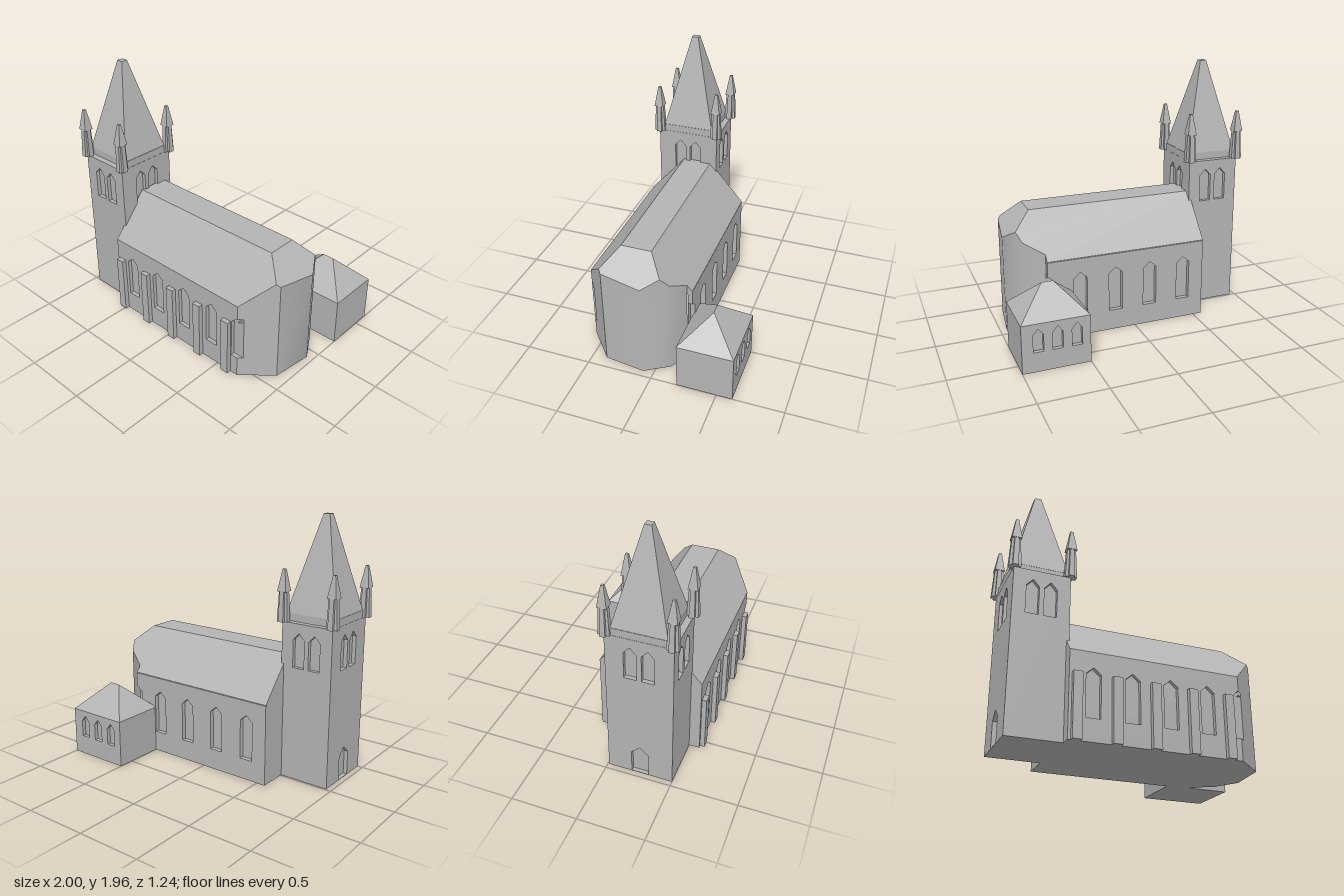
import * as THREE from 'three';
import { mergeGeometries, toCreasedNormals } from 'three/addons/utils/BufferGeometryUtils.js';

const stone = new THREE.MeshStandardMaterial({ color: 0xb4b4b4, side: THREE.DoubleSide });
stone.name = 'stone';

function add(parent, name, geometry, x = 0, y = 0, z = 0) {
  const mesh = new THREE.Mesh(geometry, stone);
  mesh.name = name;
  mesh.position.set(x, y, z);
  parent.add(mesh);
  return mesh;
}

const box = (x0, x1, y0, y1, z0, z1) =>
  new THREE.BoxGeometry(x1 - x0, y1 - y0, z1 - z0).translate((x0 + x1) / 2, (y0 + y1) / 2, (z0 + z1) / 2);

// Flat faces from corner loops, counter-clockwise seen from outside
function faces(loops) {
  const pos = [];
  for (const p of loops) {
    for (let i = 1; i < p.length - 1; i++) pos.push(...p[0], ...p[i], ...p[i + 1]);
  }
  const g = new THREE.BufferGeometry();
  g.setAttribute('position', new THREE.Float32BufferAttribute(pos, 3));
  g.computeVertexNormals();
  return g;
}

const toShape = (pts) => new THREE.Shape(pts.map(([x, y]) => new THREE.Vector2(x, y)));
const arch = (cx, w, y0, y1, apex) =>
  [[cx - w / 2, y0], [cx + w / 2, y0], [cx + w / 2, y1], [cx, apex], [cx - w / 2, y1]];

// Wall plate with pointed openings
function wallPlate(outline, openings, depth) {
  const s = toShape(outline);
  for (const o of openings) s.holes.push(toShape(o));
  return new THREE.ExtrudeGeometry(s, { depth, bevelEnabled: false });
}
const rect = (x0, x1, y0, y1) => [[x0, y0], [x1, y0], [x1, y1], [x0, y1]];

// Square tapered block, sides facing the axes
function taper(topHalf, bottomHalf, height) {
  const g = new THREE.CylinderGeometry(topHalf * Math.SQRT2, bottomHalf * Math.SQRT2, height, 4)
    .rotateY(Math.PI / 4).translate(0, height / 2, 0).toNonIndexed();
  g.computeVertexNormals();
  return g;
}

function makeNave() {
  const nave = new THREE.Group();
  nave.name = 'nave';
  const x0 = -0.57, x1 = 0.69, zf = 0.58, zb = -0.215, paneF = 0.55, paneB = -0.18;
  const roofY = (x, z) => Math.min(0.95, 0.95 - 1.155 * (z - 0.295),
    0.95 - 1.155 * (0.065 - z), 0.95 - 0.95 * (x - 0.745));
  const onRoof = (pts) => pts.map(([x, z]) => [x, roofY(x, z), z]);
  const hipF = [0.886, 0.411], hipB = [0.875, -0.042], endF = [0.745, 0.295], endB = [0.745, 0.065];
  const a = [0.91, 0.39], b = [0.95, 0.08], c = [0.84, -0.1], d = [x1, -0.175];

  // Roof with flat ridge and hipped end
  add(nave, 'naveRoof', faces([
    onRoof([[x0, 0.295], endF, endB, [x0, 0.065]]),
    onRoof([[x0, zf], [x1, zf], hipF, endF, [x0, 0.295]]),
    onRoof([endF, hipF, a, b, hipB, endB]),
    onRoof([[x0, 0.065], endB, hipB, c, d, [x1, zb], [x0, zb]]),
  ]));

  // Apse wall, softly rounded toward the back
  const ring = [[0.725, paneF], hipF, a, b, hipB, c, d];
  const quads = [];
  for (let i = 0; i < ring.length - 1; i++) {
    const [p, q] = [ring[i], ring[i + 1]];
    quads.push([[p[0], 0, p[1]], [q[0], 0, q[1]], [q[0], roofY(...q), q[1]], [p[0], roofY(...p), p[1]]]);
  }
  add(nave, 'apseWall', toCreasedNormals(faces(quads), 0.69));

  // End wall, floor, window backs and the corner around the last window
  const gable = [[zb, 0], [zf, 0], [zf, roofY(0, zf)], [0.295, 0.95], [0.065, 0.95], [zb, roofY(0, zb)]];
  const floor = [[x0, zf], [x1, zf], a, b, c, d, [x1, zb], [x0, zb]];
  const tri = (y) => [[x1, y, zf], [0.725, y, paneF], [x1, y, paneF]];
  const corner = (y0, y1, y2) => [[x1, y0, zf], [0.725, y0, paneF], [0.725, y2, paneF], [x1, y1, zf]];
  add(nave, 'naveShell', faces([
    gable.map(([z, y]) => [x0, y, z]),
    floor.reverse().map(([x, z]) => [x, 0, z]),
    [[x0, 0, paneF], [0.725, 0, paneF], [0.725, 0.62, paneF], [x0, 0.62, paneF]],
    [[x1, 0, paneB], [x0, 0, paneB], [x0, 0.62, paneB], [x1, 0.62, paneB]],
    corner(0, 0.16, 0.16), tri(0.16),
    corner(0.51, roofY(x1, zf), roofY(0.725, paneF)), tri(0.48).reverse(),
    [[x1, 0.6, -0.175], [x1, 0.6, zb], [x1, roofY(x1, zb), zb], [x1, roofY(...d), -0.175]],
  ]));

  // Side walls with four windows and an open notch at the corner
  const outline = [[x0, 0], [x1, 0], [x1, 0.16], [0.635, 0.16], [0.635, 0.465], [0.685, 0.51],
    [x1, 0.508], [x1, 0.621], [x0, 0.621]];
  const windows = [-0.4, -0.12, 0.16, 0.44].map((x) => arch(x, 0.106, 0.16, 0.465, 0.51));
  add(nave, 'frontWall', wallPlate(outline, windows, zf - paneF), 0, 0, paneF);
  add(nave, 'backWall', wallPlate(outline, windows, paneB - zb), 0, 0, zb);

  // Buttresses on the front
  for (let i = 0; i < 5; i++) {
    const x = -0.517 + i * 0.278;
    add(nave, 'buttress', box(x - 0.033, x + 0.033, 0, 0.46, 0.57, 0.615));
  }
  return nave;
}

function makePinnacle() {
  const pinnacle = new THREE.Group();
  pinnacle.name = 'pinnacle';
  // Cross-shaped shaft, wider at the foot
  const r = 0.043, t = 0.021;
  const cross = [[t, r], [t, t], [r, t], [r, -t], [t, -t], [t, -r], [-t, -r], [-t, -t], [-r, -t], [-r, t], [-t, t], [-t, r]];
  const shaft = wallPlate(cross, [], 0.22).rotateX(-Math.PI / 2);
  const p = shaft.attributes.position;
  for (let i = 0; i < p.count; i++) {
    const k = 1 - 0.25 * (p.getY(i) / 0.22);
    p.setX(i, p.getX(i) * k);
    p.setZ(i, p.getZ(i) * k);
  }
  shaft.computeVertexNormals();
  add(pinnacle, 'pinnacleShaft', shaft);
  add(pinnacle, 'pinnacleCap', taper(0.01, 0.036, 0.16), 0, 0.22, 0);
  return pinnacle;
}

function makeTower() {
  const tower = new THREE.Group();
  tower.name = 'tower';
  tower.position.set(-0.755, 0, 0.255);
  const w = 0.41, l = 0.49, h = 1.2, d = 0.03;
  add(tower, 'towerCore', box(-w / 2 + d, w / 2 - d, 0, h, -l / 2 + d, l / 2 - d));

  // Four walls with paired belfry windows, and a door on the outer end
  const pair = (s) => [-s, s].map((x) => arch(x, 0.092, 0.87, 1.08, 1.13));
  const door = arch(0, 0.13, 0.004, 0.19, 0.25);
  for (let i = 0; i < 4; i++) {
    const side = i % 2 === 1;
    const width = side ? l - 2 * d : w;
    const holes = pair(0.064);
    if (i === 3) holes.push(door);
    const g = wallPlate(rect(-width / 2, width / 2, 0, h), holes, d)
      .translate(0, 0, (side ? w : l) / 2 - d).rotateY(i * Math.PI / 2);
    add(tower, 'towerWall', g);
  }

  // Spire on a low base
  add(tower, 'spireBase', box(-0.203, 0.203, 1.2, 1.257, -0.198, 0.198));
  add(tower, 'spire', taper(0.025, 0.2, 0.703), 0, 1.257, 0);

  for (const sx of [-1, 1]) {
    for (const sz of [-1, 1]) {
      const p = makePinnacle();
      p.position.set(sx * 0.201, 1.2, sz * 0.238);
      tower.add(p);
    }
  }
  return tower;
}

function makeAnnex() {
  const annex = new THREE.Group();
  annex.name = 'annex';
  const x0 = 0.5, x1 = 1, zf = -0.2, zb = -0.62, h = 0.365, d = 0.03;
  add(annex, 'annexBody', box(x0, x1, 0, h, zb + d, zf));
  // Back wall with three small windows
  const windows = [0.6, 0.74, 0.88].map((x) => arch(x, 0.075, 0.15, 0.28, 0.325));
  add(annex, 'annexBackWall', wallPlate(rect(x0, x1, 0, h), windows, d), 0, 0, zb);
  // Hipped roof
  const A = [x0, h, zf], B = [x1, h, zf], C = [x1, h, zb], D = [x0, h, zb];
  const L = [0.705, 0.57, -0.41], R = [0.79, 0.57, -0.41];
  add(annex, 'annexRoof', faces([[A, B, R, L], [B, C, R], [C, D, L, R], [D, A, L]]));
  return annex;
}

export function createModel() {
  const model = new THREE.Group();
  model.name = 'church';
  model.add(makeNave(), makeTower(), makeAnnex());
  return model;
}
